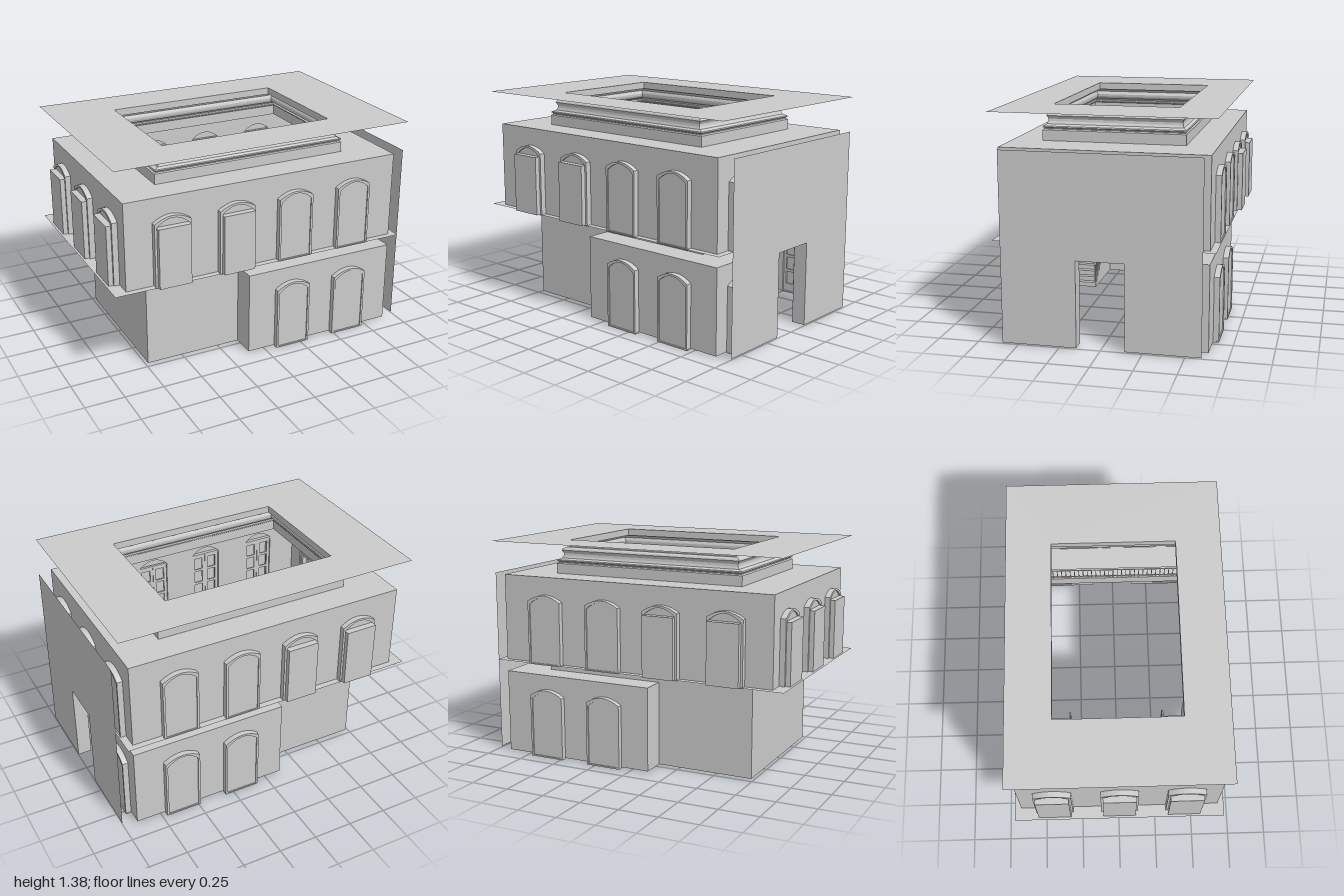
import * as THREE from 'three';

const mat = new THREE.MeshStandardMaterial({ color: 0xcccccc, flatShading: true, side: THREE.DoubleSide });

function add(parent, name, geo, x = 0, y = 0, z = 0) {
  const m = new THREE.Mesh(geo, mat);
  m.name = name;
  m.position.set(x, y, z);
  parent.add(m);
  return m;
}
const box = (w, h, d) => new THREE.BoxGeometry(w, h, d);
const extrude = (s, depth) => new THREE.ExtrudeGeometry(s, { depth, bevelEnabled: false, curveSegments: 10 });

// closed rectangle and segmental-arch outlines
function rect(Type, x0, y0, x1, y1) {
  const p = new Type();
  p.moveTo(x0, y0); p.lineTo(x1, y0); p.lineTo(x1, y1); p.lineTo(x0, y1); p.closePath();
  return p;
}
function arch(Type, cx, hw, y0, side, top) {
  const p = new Type();
  p.moveTo(cx - hw, y0); p.lineTo(cx + hw, y0); p.lineTo(cx + hw, side);
  p.quadraticCurveTo(cx, 2 * top - side, cx - hw, side);
  p.closePath();
  return p;
}

// horizontal sheet, optionally with a rectangular opening
function sheet(parent, name, y, r, hole) {
  const s = rect(THREE.Shape, ...r);
  if (hole) s.holes.push(rect(THREE.Path, ...hole));
  add(parent, name, new THREE.ShapeGeometry(s).rotateX(-Math.PI / 2), 0, y, 0);
}
// vertical sheets along x or along z
function sheetX(parent, name, x0, x1, y0, y1, z) {
  add(parent, name, new THREE.PlaneGeometry(x1 - x0, y1 - y0), (x0 + x1) / 2, (y0 + y1) / 2, z);
}
function sheetZ(parent, name, z0, z1, y0, y1, x) {
  add(parent, name, new THREE.PlaneGeometry(z1 - z0, y1 - y0).rotateY(Math.PI / 2), x, (y0 + y1) / 2, (z0 + z1) / 2);
}

// arched window with glazed double doors; local +z points out of the hall
function makeWindow(deep) {
  const g = new THREE.Group();
  g.name = deep ? 'deepWindow' : 'window';
  const frame = arch(THREE.Shape, 0, 0.116, -0.006, 0.4, 0.44);
  frame.holes.push(arch(THREE.Path, 0, 0.1025, 0.003, 0.38, 0.427));
  add(g, 'archFrame', extrude(frame, 0.035));
  const back = new THREE.ShapeGeometry(arch(THREE.Shape, 0, 0.104, 0, 0.38, 0.427));
  if (deep) {
    // niche box, open towards the hall
    const niche = box(0.205, 0.38, 0.065);
    niche.setIndex(Array.from(niche.index.array).slice(0, 30));
    add(g, 'niche', niche, 0, 0.19, 0.0325);
    add(g, 'archPanel', new THREE.ShapeGeometry(arch(THREE.Shape, 0, 0.104, 0.378, 0.381, 0.427)), 0, 0, 0.025);
  } else add(g, 'backPanel', back, 0, 0, 0.028);
  // two leaves, three panes each
  for (const s of [-1, 1]) {
    const leaf = rect(THREE.Shape, -0.05, 0.003, 0.05, 0.37);
    for (let i = 0; i < 3; i++) {
      const y = 0.055 + i * 0.103;
      leaf.holes.push(rect(THREE.Path, -0.03, y, 0.03, y + 0.085));
    }
    add(g, 'doorLeaf', extrude(leaf, 0.01), s * 0.051, 0, 0.008);
  }
  add(g, 'transom', box(0.205, 0.012, 0.016), 0, 0.375, 0.01);
  add(g, 'threshold', box(0.235, 0.008, 0.03), 0, -0.002, 0.015);
  return g;
}

// wall with window openings; items are [position, deep], door is a half width
function makeWall(parent, name, x0, x1, h, items, pos, turn, door) {
  const g = new THREE.Group();
  g.name = name;
  const s = new THREE.Shape();
  s.moveTo(x0, 0);
  if (door) { s.lineTo(-door, 0); s.lineTo(-door, h - 0.001); s.lineTo(door, h - 0.001); s.lineTo(door, 0); }
  s.lineTo(x1, 0); s.lineTo(x1, h); s.lineTo(x0, h); s.closePath();
  for (const [c, deep] of items) {
    s.holes.push(arch(THREE.Path, c, 0.1025, 0.003, 0.38, 0.427));
    const w = makeWindow(deep);
    w.position.x = c;
    g.add(w);
  }
  add(g, name + 'Surface', new THREE.ShapeGeometry(s));
  g.position.set(...pos);
  g.rotation.y = turn;
  parent.add(g);
}

// balustrade between two foot points
function makeRail(parent, name, a, b, n, h = 0.12) {
  const g = new THREE.Group();
  g.name = name;
  const p = new THREE.Vector3(...a), q = new THREE.Vector3(...b), mid = p.clone().lerp(q, 0.5);
  for (const [y, t] of [[h, 0.012], [0.015, 0.006]]) {
    const bar = add(g, 'railBar', box(t, t, p.distanceTo(q)), mid.x, mid.y + y, mid.z);
    bar.lookAt(q.x, q.y + y, q.z);
  }
  for (let i = 0; i <= n; i++) {
    const c = p.clone().lerp(q, i / n), t = i % n ? 0.005 : 0.012;
    add(g, 'baluster', box(t, h, t), c.x, c.y + h / 2, c.z);
  }
  parent.add(g);
}

export function createModel() {
  const root = new THREE.Group();
  root.name = 'galleryHall';
  const Q = Math.PI / 2, Y0 = 0.008, Y1 = 0.54, Y2 = 0.62, Y3 = 1.172;
  const W = 0.625, IN = 0.47, XL = -0.735, XR = 0.68, XS = -0.11;

  // roof sheet, gallery ceiling and gallery floor
  sheet(root, 'roofSheet', 1.385, [-0.98, -0.665, 0.975, 0.665], [-0.57, -0.385, 0.562, 0.385]);
  sheet(root, 'galleryCeiling', Y3, [-0.92, -W, 0.91, W], [-0.645, -0.437, 0.637, 0.437]);
  sheet(root, 'galleryFloor', Y2, [-1, -0.665, 0.955, 0.665], [XL, -IN, XR, IN]);

  // moulded cornice around the ceiling opening: [spread, height]
  const profile = [[0, 1.385], [0, 1.34], [0.3, 1.34], [0.55, 1.33], [0.65, 1.32], [0.55, 1.31], [0.48, 1.3],
    [0.5, 1.285], [0.62, 1.27], [0.95, 1.26], [1, 1.254], [0.86, 1.248], [0.86, 1.242], [1, 1.236], [1, Y3]];
  const pos = [], idx = [];
  for (const [t, y] of profile) {
    const hx = 0.566 + 0.075 * t, hz = 0.385 + 0.052 * t;
    for (const [sx, sz] of [[1, 1], [1, -1], [-1, -1], [-1, 1]]) pos.push(sx * hx - 0.004, y, sz * hz);
  }
  for (let i = 0; i < profile.length - 1; i++) for (let j = 0; j < 4; j++) {
    const a = i * 4 + j, b = i * 4 + (j + 1) % 4;
    idx.push(a, b, a + 4, b, b + 4, a + 4);
  }
  const cornice = new THREE.BufferGeometry();
  cornice.setAttribute('position', new THREE.Float32BufferAttribute(pos, 3));
  cornice.setIndex(idx);
  cornice.computeVertexNormals();
  add(root, 'cornice', cornice);

  // upper gallery walls
  const xs = [-0.63, -0.21, 0.19, 0.603], zs = [-0.41, 0, 0.41];
  const upH = Y3 - Y2, loH = Y1 - Y0;
  makeWall(root, 'galleryFrontWall', -0.92, 0.91, upH, xs.map(x => [x, x < 0]), [0, Y2, W], 0);
  makeWall(root, 'galleryBackWall', -0.91, 0.92, upH, xs.map(x => [-x, x < 0]), [0, Y2, -W], Math.PI);
  makeWall(root, 'galleryRightWall', -W, W, upH, zs.map(z => [z, true]), [-0.92, Y2, 0], -Q);
  makeWall(root, 'galleryLeftWall', -W, W, upH, zs.map(z => [z, false]), [0.91, Y2, 0], Q);

  // lower hall walls and ceiling
  const lower = xs.slice(2);
  makeWall(root, 'lowerFrontWall', XS, 0.91, loH, lower.map(x => [x, false]), [0, Y0, W], 0);
  makeWall(root, 'lowerBackWall', -0.91, -XS, loH, lower.map(x => [-x, false]), [0, Y0, -W], Math.PI);
  makeWall(root, 'lowerEndWall', -W, W, loH, [[-0.41, false], [0.41, false]], [0.91, Y0, 0], Q, 0.145);
  for (const s of [-1, 1]) {
    const z0 = s > 0 ? IN : -W;
    sheet(root, 'lowerCeiling', Y1, [XS, z0, XR, z0 + W - IN]);
    sheetZ(root, 'lowerReturnWall', z0, z0 + W - IN, Y0, Y1, XS);
    sheetX(root, 'galleryEdge', XS, XR, Y1, Y2, s * IN);
    sheetX(root, 'stairWall', XL, XS, Y0, Y2, s * IN);
    sheetX(root, 'doorJamb', 0.91, 1, Y0, Y1, s * 0.145);
  }
  sheet(root, 'lowerEndCeiling', Y1, [XR, -W, 0.91, W]);
  sheet(root, 'doorHead', Y1, [0.91, -0.145, 1, 0.145]);
  sheetZ(root, 'galleryEndEdge', -IN, IN, Y1, Y2, XR);
  sheetZ(root, 'stairEndWall', -IN, IN, Y0, Y2, XL);

  // tall entrance wall with its doorway
  const ent = new THREE.Shape([[-0.598, 0], [-0.145, 0], [-0.145, 0.532], [0.145, 0.532], [0.145, 0],
    [0.598, 0], [0.598, 1.166], [-0.598, 1.166]].map(p => new THREE.Vector2(...p)));
  add(root, 'entranceWall', new THREE.ShapeGeometry(ent).rotateY(Q), 1, Y0, 0);

  // mirrored stairs up to a shared landing
  const N = 12, X0 = -0.15, X1 = -0.57, TOP = 0.38, run = (X0 - X1) / N, rise = (TOP - Y0) / N;
  for (const s of [-1, 1]) {
    const g = new THREE.Group();
    g.name = 'stairs';
    const side = new THREE.Shape();
    side.moveTo(X1, Y0);
    side.lineTo(X0, Y0);
    for (let i = 0; i < N; i++) {
      const x = X0 - i * run, y = Y0 + i * rise;
      side.lineTo(x, y + rise);
      side.lineTo(x - run, y + rise);
      const z0 = s > 0 ? 0.32 : -IN;
      sheetZ(g, 'riser', z0, z0 + 0.15, y, y + rise, x);
      sheet(g, 'tread', y + rise, [x - run, -z0 - 0.15, x, -z0]);
    }
    add(g, 'stringer', new THREE.ShapeGeometry(side), 0, 0, s * 0.32);
    root.add(g);
    makeRail(root, 'stairRail', [X0, Y0 + rise, s * 0.326], [X1 + 0.005, TOP, s * 0.326], 14);
    makeRail(root, 'galleryRail', [XL, Y2, s * (IN + 0.008)], [XR, Y2, s * (IN + 0.008)], 48);
  }
  sheet(root, 'landing', TOP, [XL, -IN, X1, IN]);
  sheetZ(root, 'landingFront', -0.32, 0.32, Y0, TOP, X1);
  makeRail(root, 'landingRail', [X1 + 0.005, TOP, -0.326], [X1 + 0.005, TOP, 0.326], 22);
  for (const x of [XL - 0.008, XR + 0.008]) makeRail(root, 'galleryEndRail', [x, Y2, -IN], [x, Y2, IN], 32);

  return root;
}
